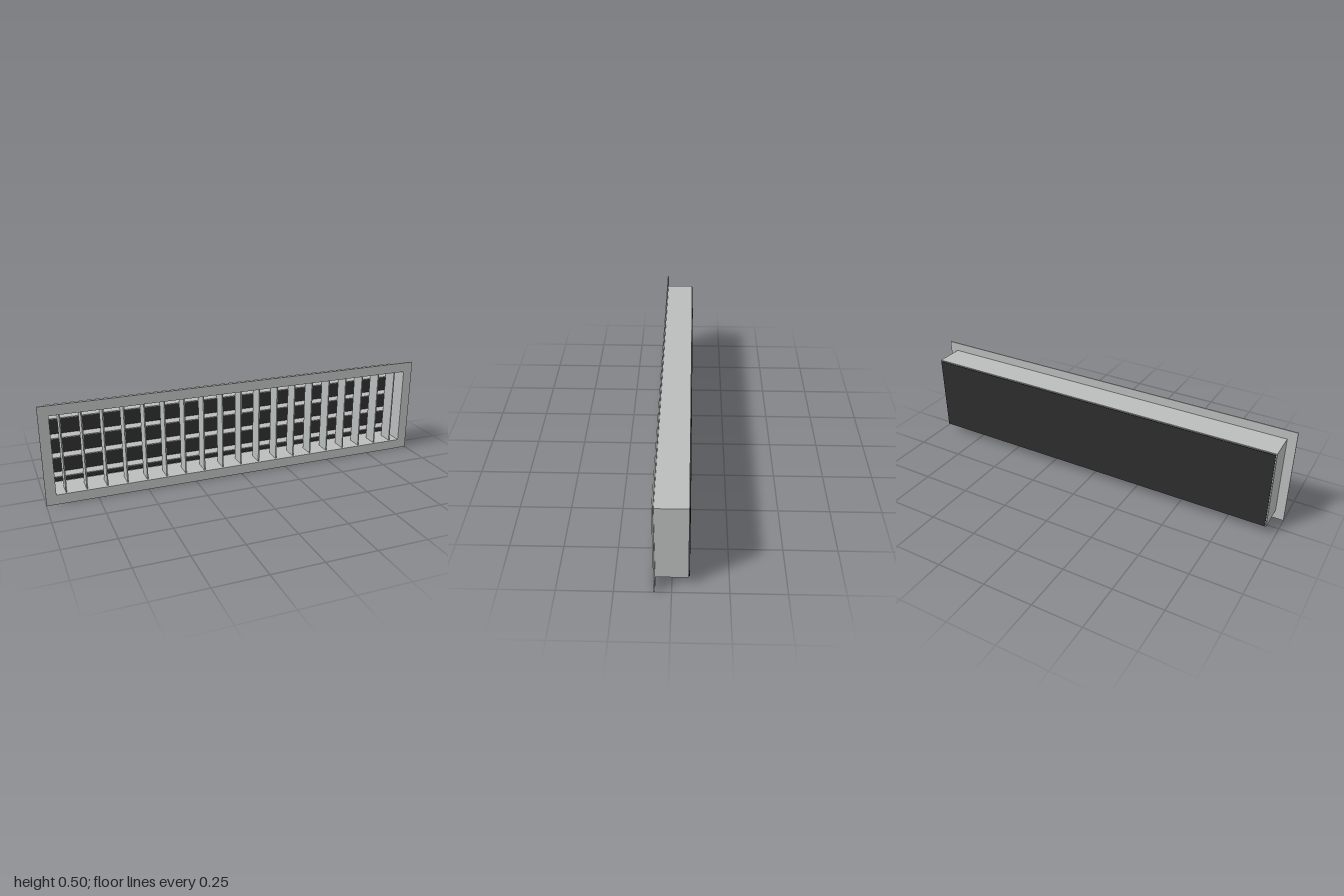
import * as THREE from 'three';

export function createModel() {
  const group = new THREE.Group();
  group.name = 'ventGrille';
  const metal = new THREE.MeshStandardMaterial({ color: 0xb9bdbc });
  metal.name = 'light grey metal';
  const dark = new THREE.MeshStandardMaterial({ color: 0x2d2d2d });
  dark.name = 'dark backing';
  const midY = 0.25;

  // Rectangular ring centred on the grille axis, spanning z0 to z1
  function ring(name, w, h, innerW, innerH, z0, z1) {
    const rect = (Type, rw, rh) => new Type([
      new THREE.Vector2(-rw / 2, -rh / 2), new THREE.Vector2(rw / 2, -rh / 2),
      new THREE.Vector2(rw / 2, rh / 2), new THREE.Vector2(-rw / 2, rh / 2),
    ]);
    const shape = rect(THREE.Shape, w, h);
    shape.holes.push(rect(THREE.Path, innerW, innerH));
    const geo = new THREE.ExtrudeGeometry(shape, { depth: z1 - z0, bevelEnabled: false });
    const mesh = new THREE.Mesh(geo, metal);
    mesh.position.set(0, midY, z0);
    mesh.name = name;
    group.add(mesh);
  }

  function slab(parent, name, w, h, z0, z1, x, y, material) {
    const mesh = new THREE.Mesh(new THREE.BoxGeometry(w, h, z1 - z0), material);
    mesh.position.set(x, y, (z0 + z1) / 2);
    mesh.name = name;
    parent.add(mesh);
  }

  // Front flange and the duct collar behind it
  ring('flange', 2, 0.5, 1.9, 0.4, 0.0715, 0.0775);
  ring('collar', 1.91, 0.41, 1.9, 0.4, -0.0725, 0.0715);

  // Upright blades in the front layer
  const uprights = new THREE.Group();
  uprights.name = 'verticalBlades';
  for (let i = -9; i <= 9; i++) {
    slab(uprights, 'verticalBlade', 0.006, 0.4, -0.013, 0.065, i * 0.1, midY, metal);
  }
  group.add(uprights);

  // Level blades in the rear layer
  const levels = new THREE.Group();
  levels.name = 'horizontalBlades';
  for (let i = 1; i <= 4; i++) {
    slab(levels, 'horizontalBlade', 1.9, 0.006, -0.07, -0.013, 0, i * 0.1, metal);
  }
  group.add(levels);

  // Dark plate just behind the collar
  slab(group, 'backPlate', 1.9, 0.4, -0.0775, -0.0745, 0, midY, dark);

  return group;
}
